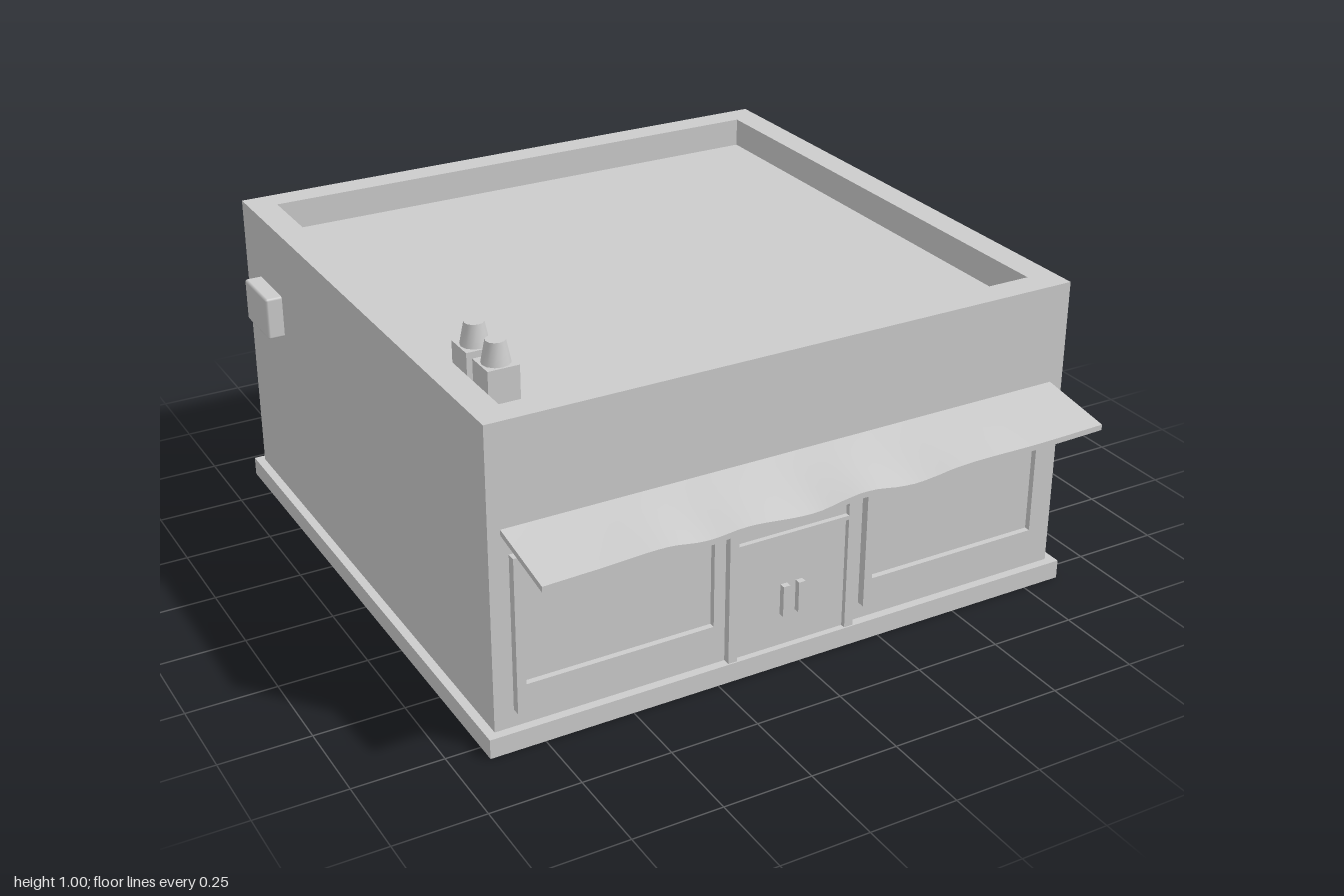
import * as THREE from 'three';
import { RoundedBoxGeometry } from 'three/addons/geometries/RoundedBoxGeometry.js';
import { toCreasedNormals } from 'three/addons/utils/BufferGeometryUtils.js';

const grey = new THREE.MeshStandardMaterial({ color: 0xcccccc });
const sheet = new THREE.MeshStandardMaterial({ color: 0xcccccc, side: THREE.DoubleSide });

function add(parent, name, geometry, material = grey) {
  const mesh = new THREE.Mesh(geometry, material);
  mesh.name = name;
  parent.add(mesh);
  return mesh;
}

// Box given by its minimum and maximum on each axis
function box(parent, name, x0, x1, y0, y1, z0, z1) {
  const g = new THREE.BoxGeometry(x1 - x0, y1 - y0, z1 - z0);
  g.translate((x0 + x1) / 2, (y0 + y1) / 2, (z0 + z1) / 2);
  return add(parent, name, g);
}

// Flat pane facing +z
function pane(parent, name, [x0, x1, y0, y1], z) {
  const g = new THREE.PlaneGeometry(x1 - x0, y1 - y0);
  add(parent, name, g.translate((x0 + x1) / 2, (y0 + y1) / 2, z));
}

// Shell through rectangles [x0, x1, z0, z1, y], closed on the last one
function shell(rings, closedBelow) {
  const corners = rings.map(([x0, x1, z0, z1, y]) => [[x0, y, z1], [x1, y, z1], [x1, y, z0], [x0, y, z0]]);
  const quads = [corners.at(-1)];
  if (closedBelow) quads.push([...corners[0]].reverse());
  for (let r = 1; r < corners.length; r++) {
    const a = corners[r - 1], b = corners[r];
    for (let i = 0; i < 4; i++) quads.push([a[i], a[(i + 1) % 4], b[(i + 1) % 4], b[i]]);
  }
  const points = quads.flatMap(([a, b, c, d]) => [a, b, c, a, c, d]).flat();
  const g = new THREE.BufferGeometry();
  g.setAttribute('position', new THREE.Float32BufferAttribute(points, 3));
  g.computeVertexNormals();
  return g;
}

const polygon = points => new THREE.Shape(points.map(p => new THREE.Vector2(...p)));
const rect = (x0, x1, y0, y1) => polygon([[x0, y0], [x1, y0], [x1, y1], [x0, y1]]);

// Rectangular plate with rectangular openings, extruded along +z
function frame(outer, openings, depth) {
  const shape = rect(...outer);
  for (const o of openings) shape.holes.push(rect(...o));
  return new THREE.ExtrudeGeometry(shape, { depth, bevelEnabled: false });
}

// Pipe that rises and then bends over into a wall
function bentPipe(parent, name, base, height, toWall, bend, radius) {
  const top = base.clone().setY(height);
  const dir = toWall.clone().normalize();
  const path = new THREE.CurvePath();
  const a = top.clone().setY(height - bend), b = top.clone().addScaledVector(dir, bend);
  path.add(new THREE.LineCurve3(base, a));
  path.add(new THREE.QuadraticBezierCurve3(a, top, b));
  path.add(new THREE.LineCurve3(b, top.clone().add(toWall)));
  add(parent, name, new THREE.TubeGeometry(path, 60, radius, 12), sheet);
}

export function createModel() {
  const model = new THREE.Group();
  model.name = 'shopBuilding';

  // Plinth, walls, parapet and sunken roof as one shell
  add(model, 'buildingShell', shell([
    [-0.903, 0.864, -0.89, 0.806, 0],
    [-0.903, 0.864, -0.89, 0.806, 0.055],
    [-0.878, 0.838, -0.867, 0.781, 0.055],
    [-0.878, 0.838, -0.867, 0.781, 0.905],
    [-0.799, 0.758, -0.788, 0.7, 0.905],
    [-0.799, 0.758, -0.788, 0.7, 0.82],
  ], true));

  // Roof vents
  for (const z of [0.432, 0.553]) {
    const vent = new THREE.Group();
    vent.name = 'roofVent';
    vent.position.set(-0.735, 0, z);
    box(vent, 'ventBase', -0.043, 0.043, 0.82, 0.94, -0.043, 0.043);
    const cone = toCreasedNormals(new THREE.CylinderGeometry(0.026, 0.038, 0.06, 12), 0.8);
    add(vent, 'ventCap', cone.translate(0, 0.97, 0));
    model.add(vent);
  }

  // Shop windows
  for (const [x0, x1] of [[-0.824, -0.241], [0.199, 0.775]]) {
    const hole = [x0 + 0.025, x1 - 0.025, 0.185, 0.523];
    add(model, 'windowFrame', frame([x0, x1, 0.105, 0.547], [hole], 0.025).translate(0, 0, 0.78));
    pane(model, 'windowGlass', hole, 0.788);
  }

  // Entrance with transom
  const doorHole = [-0.192, 0.143, 0.055, 0.385], transom = [-0.192, 0.143, 0.397, 0.523];
  const entrance = frame([-0.218, 0.17, 0.05, 0.547], [doorHole, transom], 0.022);
  add(model, 'entranceFrame', entrance.translate(0, 0, 0.78));
  pane(model, 'entranceDoor', doorHole, 0.788);
  pane(model, 'transomGlass', transom, 0.788);
  for (const x of [-0.045, 0.002]) box(model, 'entranceHandle', x - 0.01, x + 0.01, 0.15, 0.24, 0.788, 0.805);

  // Awning: sloping slab whose front edge ripples
  const ripple = new THREE.SplineCurve([[-0.847, -0.004], [-0.68, 0.001], [-0.52, 0.007], [-0.4, -0.007],
    [-0.28, 0], [-0.1, -0.015], [0.05, 0.004], [0.2, -0.013], [0.37, 0.001], [0.6, 0], [0.797, 0.004]]
    .map(p => new THREE.Vector2(...p))).getPoints(200);
  const awning = new THREE.BoxGeometry(1.642, 0.016, 0.222, 60, 1, 6).translate(-0.023, 0, 0.889);
  const p = awning.attributes.position;
  for (let i = 0; i < p.count; i++) {
    const t = (p.getZ(i) - 0.778) / 0.222;
    const wave = ripple.find(q => q.x >= p.getX(i) - 1e-4) ?? ripple[200];
    p.setY(i, p.getY(i) + 0.613 - 0.037 * t + wave.y * t);
  }
  awning.computeVertexNormals();
  add(model, 'awning', awning);

  // Side door on the left wall, with handle and step
  const side = frame([-0.355, -0.094, 0.05, 0.508], [[-0.332, -0.12, 0.055, 0.484]], 0.022);
  add(model, 'sideDoorFrame', side.rotateY(Math.PI / 2).translate(0.838, 0, 0));
  box(model, 'sideDoor', 0.835, 0.845, 0.055, 0.484, 0.12, 0.332);
  box(model, 'sideDoorHandle', 0.843, 0.858, 0.255, 0.28, 0.136, 0.195);
  add(model, 'sideStep', shell([
    [0.862, 0.926, 0.077, 0.38, 0],
    [0.862, 0.926, 0.077, 0.38, 0.026],
  ], false));

  // Utility cabinet with a sloped top edge, and its two pipes
  add(model, 'utilityCabinet', shell([
    [0.836, 0.926, -0.706, -0.547, 0],
    [0.836, 0.926, -0.706, -0.547, 0.275],
    [0.836, 0.9, -0.706, -0.547, 0.3],
  ], false));
  for (const z of [-0.585, -0.607]) {
    bentPipe(model, 'cabinetPipe', new THREE.Vector3(0.866, 0.295, z), 0.724,
      new THREE.Vector3(-0.03, 0, 0), 0.02, 0.006);
  }

  // Wall box on the right wall, with chamfered edges
  const wallBox = new RoundedBoxGeometry(0.055, 0.125, 0.177, 1, 0.007);
  add(model, 'wallBox', wallBox.translate(-0.899, 0.647, -0.667));

  // Drainpipe at the back
  bentPipe(model, 'drainpipe', new THREE.Vector3(-0.568, 0.005, -0.946), 0.708,
    new THREE.Vector3(0, 0, 0.08), 0.06, 0.021);

  // Loading door: frame, rolled slats, canopy and ramp
  const loading = frame([0.078, 0.653, 0.05, 0.51], [[0.098, 0.633, 0.055, 0.5]], 0.018);
  add(model, 'loadingDoorFrame', loading.translate(0, 0, -0.884));
  const slats = new THREE.PlaneGeometry(0.535, 0.445, 1, 60).rotateY(Math.PI).translate(0.3655, 0.2775, 0);
  const s = slats.attributes.position;
  for (let i = 0; i < s.count; i++) {
    s.setZ(i, -0.874 - 0.004 * Math.cos((s.getY(i) - 0.055) / 0.445 * Math.PI * 8));
  }
  slats.computeVertexNormals();
  add(model, 'loadingDoorSlats', slats);
  box(model, 'loadingCanopy', 0.017, 0.715, 0.53, 0.557, -0.94, -0.866);
  const ramp = polygon([[0.888, 0.02], [1, 0], [1, 0.004], [0.888, 0.026]]);
  const rampGeometry = new THREE.ExtrudeGeometry(ramp, { depth: 0.605, bevelEnabled: false });
  add(model, 'loadingRamp', rampGeometry.rotateY(Math.PI / 2).translate(0.069, 0, 0));

  return model;
}
